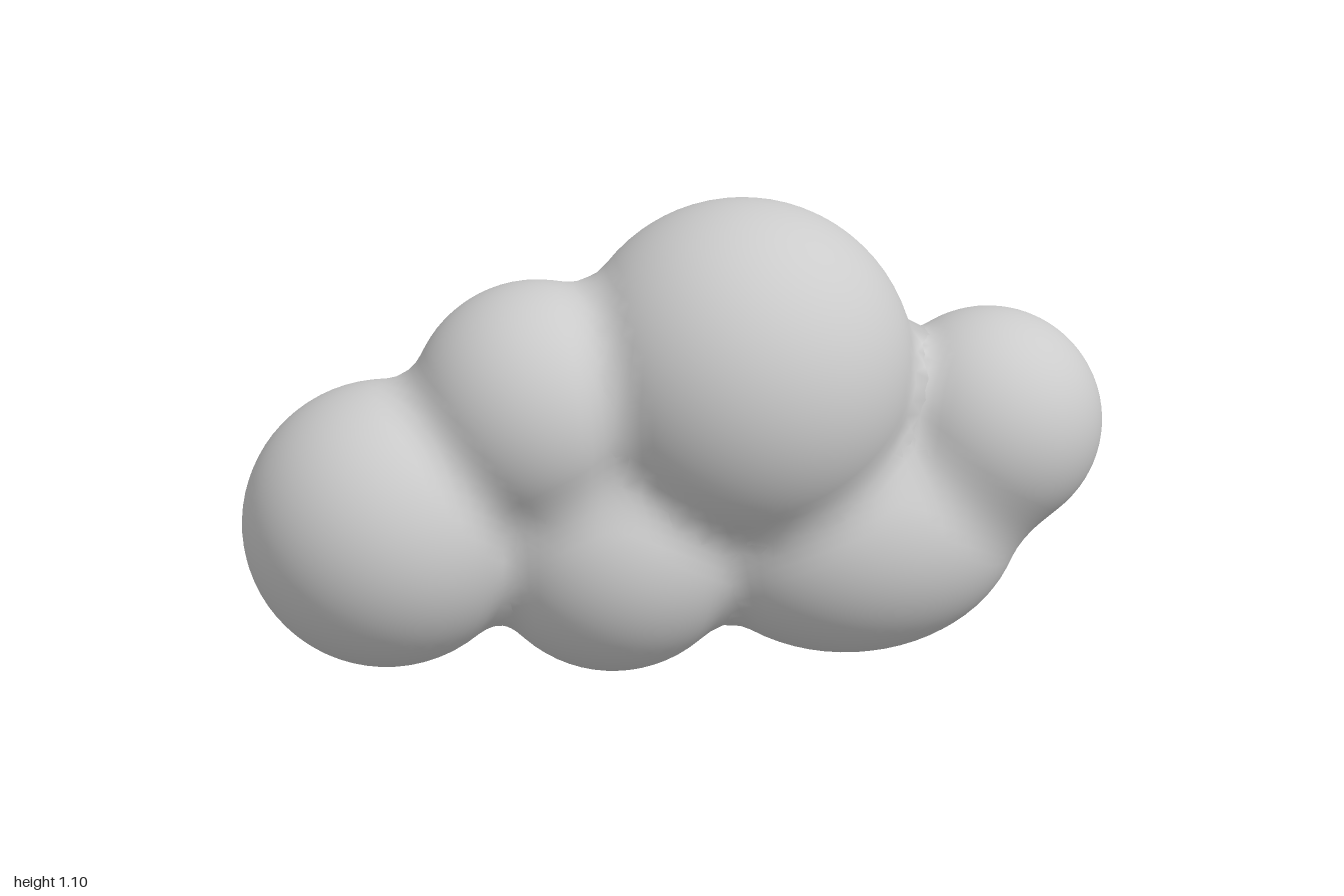
import * as THREE from 'three';

// Lumps of the cloud: name, centre x and y, then radii along x, y and z
const LUMPS = [
  ['rightEndPuff', -0.67, 0.38, 0.33, 0.33, 0.33],
  ['upperRightPuff', -0.32, 0.645, 0.29, 0.29, 0.29],
  ['crownPuff', 0.15, 0.71, 0.395, 0.395, 0.395],
  ['leftEndPuff', 0.73, 0.56, 0.265, 0.265, 0.265],
  ['lowerMiddlePuff', -0.15, 0.318, 0.315, 0.315, 0.315],
  ['lowerLeftPuff', 0.41, 0.32, 0.4, 0.307, 0.307],
].map(([name, x, y, rx, ry, rz]) => ({
  name, centre: new THREE.Vector3(x, y, 0), radii: new THREE.Vector3(rx, ry, rz),
}));

const BLEND = 0.08; // width of the soft fillet where lumps meet
const REACH = 1.12; // how far a lump may swell into a fillet

// Approximate signed distance to the blended union of all lumps
const q = new THREE.Vector3();
function field(p) {
  let d = Infinity;
  for (const { centre, radii } of LUMPS) {
    const e = (q.copy(p).sub(centre).divide(radii).length() - 1) * radii.y;
    const h = Math.max(BLEND - Math.abs(d - e), 0) / BLEND;
    d = Math.min(d, e) - (h * h * BLEND) / 4;
  }
  return d;
}

// Surface normal from the slope of the field
function slope(p) {
  const n = new THREE.Vector3();
  for (const axis of ['x', 'y', 'z']) {
    const a = p.clone(), b = p.clone();
    a[axis] += 0.004;
    b[axis] -= 0.004;
    n[axis] = field(a) - field(b);
  }
  return n.normalize();
}

// Sphere whose vertices are pushed outwards onto the blended surface
function puff({ name, centre, radii }, material) {
  const geometry = new THREE.IcosahedronGeometry(1, 12);
  const pos = geometry.attributes.position;
  const nor = geometry.attributes.normal;
  const dir = new THREE.Vector3(), p = new THREE.Vector3();
  for (let i = 0; i < pos.count; i++) {
    dir.fromBufferAttribute(pos, i).multiply(radii);
    let t = 0.95;
    for (let step = 0; step < 14; step++) {
      p.copy(centre).addScaledVector(dir, t);
      t = Math.min(REACH, t - field(p) / dir.length());
    }
    p.copy(centre).addScaledVector(dir, t);
    const n = slope(p);
    pos.setXYZ(i, p.x, p.y, p.z);
    nor.setXYZ(i, n.x, n.y, n.z);
  }
  const mesh = new THREE.Mesh(geometry, material);
  mesh.name = name;
  return mesh;
}

export function createModel() {
  const group = new THREE.Group();
  group.name = 'cloud';
  const material = new THREE.MeshStandardMaterial({ color: 0xcccccc });
  for (const lump of LUMPS) group.add(puff(lump, material));
  return group;
}
